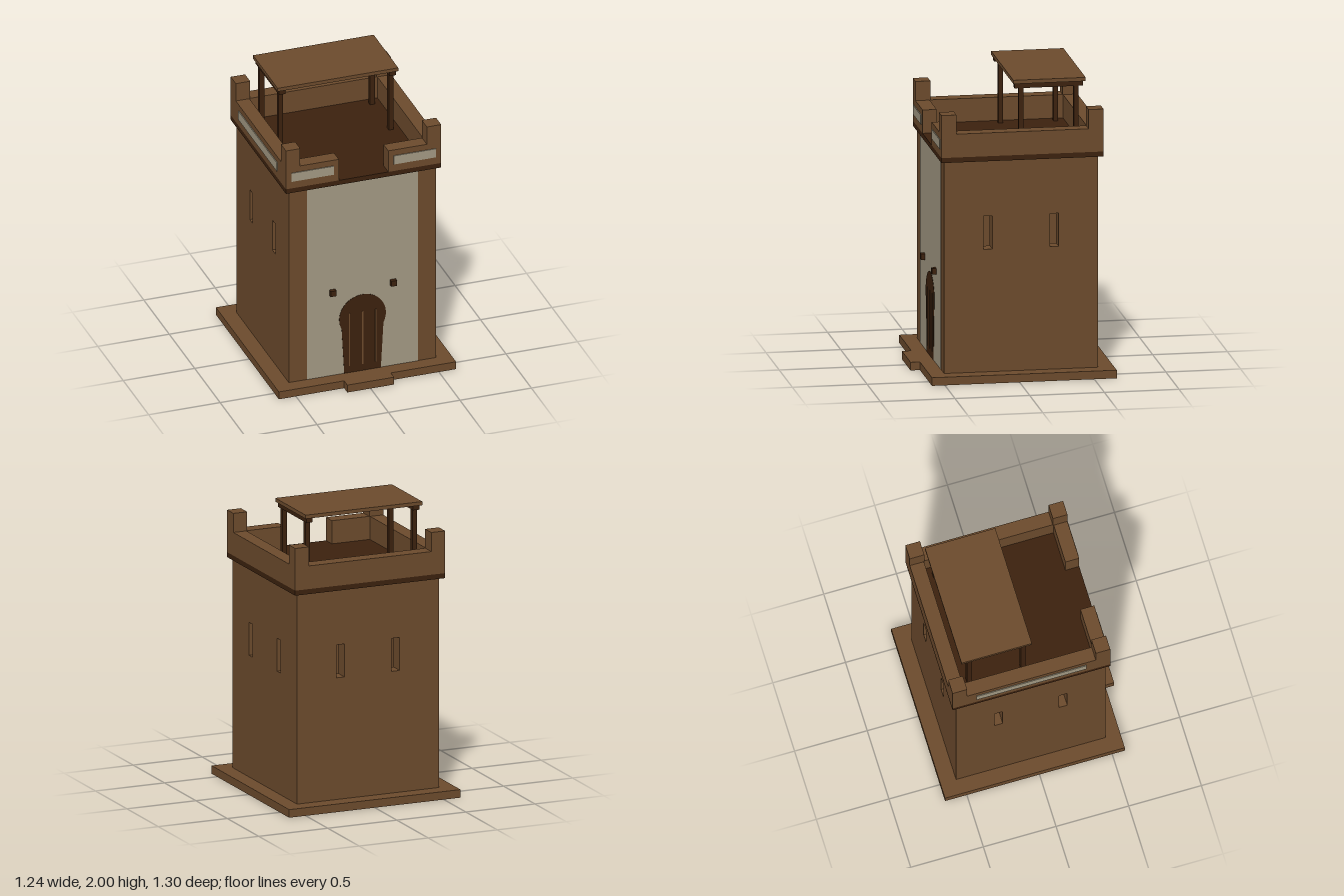
import * as THREE from 'three';

const mat = (name, color) => {
  const m = new THREE.MeshStandardMaterial({ color });
  m.name = name;
  return m;
};

export function createModel() {
  const group = new THREE.Group();
  const brown = mat('mud brown', 0x6b4a2c);
  const dark = mat('dark wood', 0x3b210e);
  const plaster = mat('pale plaster', 0xa19882);

  const add = (name, geometry, material) => {
    const mesh = new THREE.Mesh(geometry, material);
    mesh.name = name;
    group.add(mesh);
    return mesh;
  };
  // Box given by its minimum and maximum on each axis
  const box = (name, material, x0, x1, y0, y1, z0, z1) => {
    const g = new THREE.BoxGeometry(x1 - x0, y1 - y0, z1 - z0);
    g.translate((x0 + x1) / 2, (y0 + y1) / 2, (z0 + z1) / 2);
    return add(name, g, material);
  };
  const rect = (target, x0, x1, y0, y1) => {
    target.moveTo(x0, y0).lineTo(x1, y0).lineTo(x1, y1).lineTo(x0, y1).closePath();
    return target;
  };

  const baseTop = 0.055, wallTop = 1.488, floorTop = 1.522, parapetTop = 1.68, merlonTop = 1.81;
  const W = 0.515, front = 0.487, back = -0.543, T = 0.1; // tower walls
  const P = 0.543, pFront = 0.51, pBack = -0.575; // parapet outline

  // Plinth and doorstep
  box('plinth', brown, -0.62, 0.62, 0, baseTop, -0.65, 0.587);
  box('doorstep', brown, -0.163, 0.163, 0, baseTop, 0.587, 0.65);

  // Hollow tower walls, pierced by pairs of slit windows
  const slitWall = (name, from, to, centres) => {
    const shape = rect(new THREE.Shape(), from, to, baseTop, wallTop);
    for (const c of centres) shape.holes.push(rect(new THREE.Path(), c - 0.029, c + 0.029, 0.885, 1.11));
    return add(name, new THREE.ExtrudeGeometry(shape, { depth: T, bevelEnabled: false }), brown);
  };
  for (const [name, x] of [['leftWall', W], ['rightWall', -W + T]]) {
    const wall = slitWall(name, back, front, [-0.251, 0.193]);
    wall.rotation.y = -Math.PI / 2;
    wall.position.x = x;
  }
  slitWall('backWall', -W + T, W - T, [-0.2, 0.2]).position.z = back;
  box('frontWall', brown, -W + T, W - T, baseTop, wallTop, front - T, front);

  // Plastered front panel
  box('frontPlaster', plaster, -0.387, 0.387, baseTop, wallTop, front - 0.002, front + 0.002);

  // Horseshoe-arched door with plank strips
  const door = new THREE.Shape();
  const a = 0.46;
  door.moveTo(-0.128, baseTop).lineTo(0.128, baseTop);
  door.absarc(0, 0.462, 0.163, -a, Math.PI + a, false);
  door.closePath();
  const doorGeo = new THREE.ExtrudeGeometry(door, { depth: 0.004, bevelEnabled: false, curveSegments: 32 });
  add('door', doorGeo, dark).position.z = front;
  for (const x of [-0.092, 0, 0.092]) {
    box('doorStrip', brown, x - 0.004, x + 0.004, 0.105, 0.5, front, front + 0.007);
  }

  // Pegs above the door
  for (const x of [-0.212, 0.212]) {
    box('wallPeg', dark, x - 0.02, x + 0.02, 0.66, 0.7, front - 0.01, front + 0.03);
  }

  // Roof floor and parapet, open in the middle of the front
  box('roofFloor', dark, -P, P, wallTop, floorTop, pBack, pFront);
  box('backParapet', brown, -P, P, floorTop, parapetTop, pBack, pBack + 0.097);
  for (const s of [-1, 1]) {
    const span = (a0, a1) => (s > 0 ? [a0, a1] : [-a1, -a0]);
    box('sideParapet', brown, ...span(0.448, P), floorTop, parapetTop, pBack + 0.097, pFront);
    box('frontParapet', brown, ...span(0.173, 0.448), floorTop, parapetTop, 0.415, pFront);
    box('frontParapetPanel', plaster, ...span(0.21, 0.505), 1.574, 1.638, pFront - 0.002, pFront + 0.006);
    // Corner merlons
    for (const z of [pBack, pFront - 0.1]) {
      box('cornerMerlon', brown, ...span(0.443, P), parapetTop, merlonTop, z, z + 0.1);
    }
    // Canopy posts and the beam above them
    for (const z of [-0.048, -0.417]) {
      box('canopyPost', dark, ...span(0.37, 0.403), floorTop, 1.942, z - 0.016, z + 0.016);
    }
    box('canopyBeam', dark, ...span(0.364, 0.409), 1.942, 1.975, -0.46, -0.004);
  }
  box('sideParapetPanel', plaster, -P - 0.006, -P + 0.002, 1.574, 1.638, -0.412, 0.345);

  // Canopy roof
  box('canopyRoof', brown, -0.422, 0.422, 1.975, 2, -0.477, 0.007);

  return group;
}
